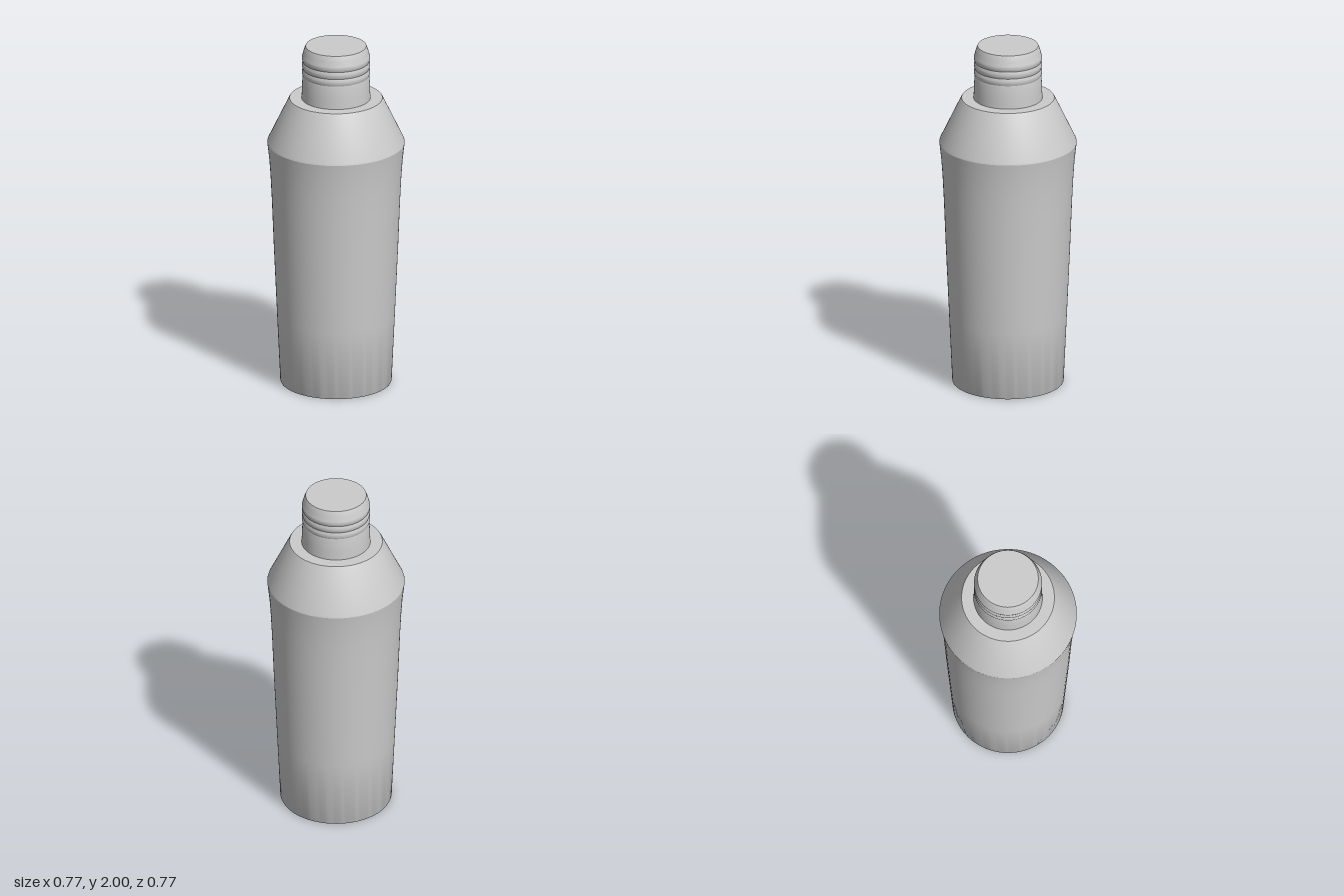
import * as THREE from 'three';
import { toCreasedNormals } from 'three/addons/utils/BufferGeometryUtils.js';

const material = new THREE.MeshStandardMaterial({ color: 0xcccccc });

// Turns a bottom-to-top [radius, height] profile, keeping sharp rims
function turned(name, profile) {
  const points = profile.map(([r, y]) => new THREE.Vector2(r, y));
  const geometry = toCreasedNormals(new THREE.LatheGeometry(points, 96), 0.5);
  const mesh = new THREE.Mesh(geometry, material);
  mesh.name = name;
  return mesh;
}

export function createModel() {
  const group = new THREE.Group();
  group.name = 'shaker';

  // Tapered cup, flaring slightly towards its mouth
  group.add(turned('cup', [
    [0, 0], [0.309, 0], [0.312, 0.006], [0.33, 0.4], [0.348, 0.8], [0.359, 1.08],
    [0.366, 1.22], [0.373, 1.32], [0.383, 1.41], [0.385, 1.425], [0.37, 1.425],
  ]));

  // Conical shoulder with a flat top
  group.add(turned('shoulder', [
    [0.37, 1.424], [0.385, 1.425], [0.382, 1.436], [0.265, 1.682], [0.26, 1.69], [0, 1.692],
  ]));

  // Cap with three rounded grip rings and a domed edge
  const cap = [[0, 1.69], [0.193, 1.69], [0.191, 1.74], [0.188, 1.815]];
  const ringHeight = 0.042;
  for (let ring = 0; ring < 3; ring++) {
    for (let i = 0; i <= 8; i++) {
      if (ring > 0 && i === 0) continue;
      const t = i / 8;
      cap.push([0.186 + 0.005 * Math.sin(Math.PI * t), 1.825 + (ring + t) * ringHeight]);
    }
  }
  cap.push([0.182, 1.968], [0.176, 1.986], [0.17, 2], [0, 2]);
  group.add(turned('cap', cap));

  return group;
}
